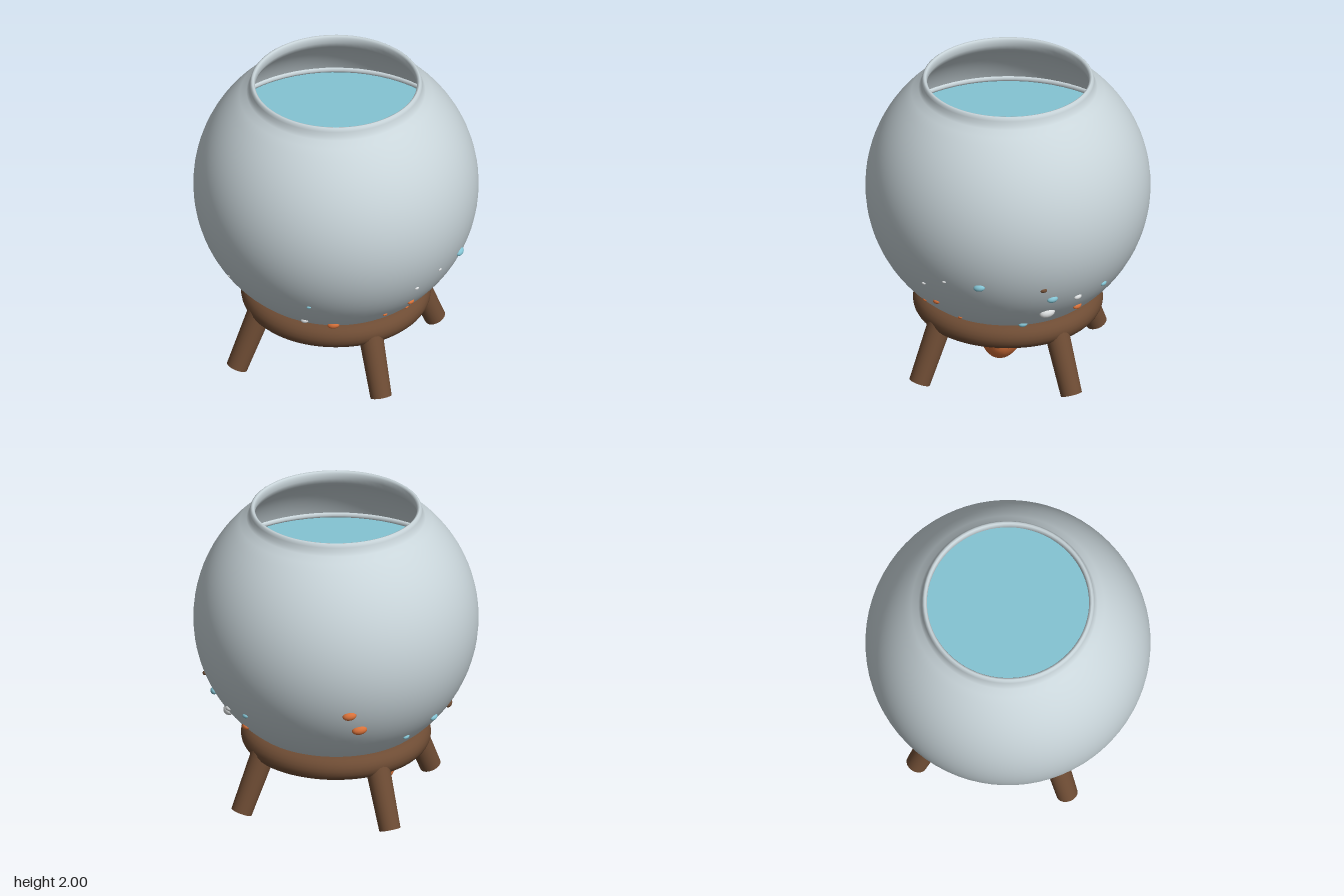
import * as THREE from 'three';

const mat = (name, color, side = THREE.FrontSide) => {
  const m = new THREE.MeshStandardMaterial({ color, side });
  m.name = name;
  return m;
};

export function createModel() {
  const model = new THREE.Group();
  model.name = 'fishBowl';
  const glass = mat('pale glass', 0xc9d5da);
  const blue = mat('water blue', 0x84c4d4);
  const wood = mat('brown wood', 0x6e4c34);
  const orange = mat('fish orange', 0xd9723a);
  const white = mat('pebble white', 0xdcdfe0);
  const black = mat('eye black', 0x1c1c1c);

  const add = (name, geo, material, parent = model) => {
    const m = new THREE.Mesh(geo, material);
    m.name = name;
    parent.add(m);
    return m;
  };
  const V = (x, y) => new THREE.Vector2(x, y);
  const R = 0.9, CY = 1.23;
  const ringRadius = (y, r = R) => Math.sqrt(Math.max(0, r * r - (y - CY) ** 2));

  // Bowl: outer wall from the recessed base up to the rim, then back down inside
  const profile = [V(0, 0.42), V(0.24, 0.42), V(0.27, 0.385)];
  const a0 = Math.asin(0.3 / R), a1 = Math.PI - Math.asin(0.61 / R);
  for (let i = 0; i <= 30; i++) {
    const a = a0 + (a1 - a0) * i / 30;
    profile.push(V(R * Math.sin(a), CY - R * Math.cos(a)));
  }
  profile.push(V(0.565, 1.925), V(0.55, 1.95), V(0.545, 1.975), V(0.54, 1.992), V(0.53, 2),
    V(0.52, 1.997), V(0.512, 1.985), V(0.512, 1.95), V(0.53, 1.91), V(0.58, 1.87));
  for (let i = 0; i <= 12; i++) {
    const y = 1.85 - i * 0.03;
    profile.push(V(ringRadius(y, 0.865), y));
  }
  add('bowl', new THREE.LatheGeometry(profile, 72), glass);

  // Water surface with a thin glass line around it
  const water = add('water', new THREE.CircleGeometry(0.81, 64), blue);
  water.rotation.x = -Math.PI / 2;
  water.position.y = 1.54;
  const line = add('waterLine', new THREE.TorusGeometry(0.8, 0.02, 8, 64), glass);
  line.rotation.x = Math.PI / 2;
  line.position.y = 1.56;

  // Stand: round ring with four splayed legs
  const stand = new THREE.Group();
  stand.name = 'stand';
  model.add(stand);
  const ring = add('standRing', new THREE.TorusGeometry(0.517, 0.083, 20, 72), wood, stand);
  ring.rotation.x = Math.PI / 2;
  ring.position.y = 0.428;
  for (const sx of [-1, 1]) for (const sz of [-1, 1]) {
    const top = new THREE.Vector3(sx * 0.365, 0.43, sz * 0.365);
    const foot = new THREE.Vector3(sx * 0.485, 0.028, sz * 0.485);
    const dir = top.clone().sub(foot);
    const leg = add('leg', new THREE.CylinderGeometry(0.078, 0.068, dir.length(), 24), wood, stand);
    leg.position.copy(top).add(foot).multiplyScalar(0.5);
    leg.quaternion.setFromUnitVectors(new THREE.Vector3(0, 1, 0), dir.normalize());
  }

  // Pebbles on the wall: angle from the front towards +x, height, half width, material
  const pebbles = [
    [2, 0.58, 0.026, white], [19, 0.54, 0.04, orange], [8, 0.8, 0.015, blue], [48, 0.63, 0.016, orange],
    [61, 0.7, 0.025, orange], [-38, 0.8, 0.01, white], [87, 0.937, 0.038, blue], [115, 0.905, 0.022, wood],
    [120, 0.81, 0.036, blue], [120, 0.665, 0.052, white], [139, 0.645, 0.032, orange],
    [134, 0.77, 0.028, white], [149, 0.8, 0.024, blue], [109, 0.53, 0.03, blue], [69, 0.555, 0.016, orange],
    [59, 0.86, 0.016, white], [71, 0.935, 0.014, white], [201, 0.944, 0.045, orange],
    [206, 0.818, 0.05, orange], [250, 0.74, 0.032, blue], [236, 0.64, 0.024, blue],
    [275, 0.69, 0.04, wood], [282, 0.65, 0.036, white],
  ];
  for (const [deg, y, s, m] of pebbles) {
    const a = deg * Math.PI / 180, r = ringRadius(y);
    const p = add('pebble', new THREE.SphereGeometry(1, 14, 10), m);
    p.scale.set(s, s * 0.62, s * 0.62);
    p.position.set(Math.sin(a) * r, y, Math.cos(a) * r);
    p.rotation.set(0, a, 0.15);
  }

  // Fish, facing +x and hanging low through the base
  const fish = new THREE.Group();
  fish.name = 'fish';
  model.add(fish);
  const blob = (name, m, pos, scale, rot = [0, 0, 0]) => {
    const b = add(name, new THREE.SphereGeometry(1, 32, 20), m, fish);
    b.position.set(...pos);
    b.scale.set(...scale);
    b.rotation.set(...rot);
  };
  blob('fishBody', orange, [0.17, 0.355, 0], [0.32, 0.222, 0.15]);
  const mouth = add('fishMouth', new THREE.TorusGeometry(0.036, 0.015, 10, 24), orange, fish);
  mouth.position.set(0.475, 0.355, 0);
  mouth.rotation.y = Math.PI / 2;
  for (const s of [-1, 1]) {
    blob('fishEye', white, [0.34, 0.43, s * 0.11], [0.035, 0.035, 0.025]);
    blob('fishPupil', black, [0.35, 0.43, s * 0.13], [0.018, 0.018, 0.012]);
    blob('bellyFin', orange, [-0.05, 0.225, s * 0.055], [0.05, 0.1, 0.018], [s * -0.2, 0, -0.45]);
  }
  // Forked tail
  const tail = new THREE.Shape();
  tail.moveTo(-0.08, 0.36);
  tail.quadraticCurveTo(-0.14, 0.2, -0.36, 0.18);
  tail.quadraticCurveTo(-0.4, 0.25, -0.28, 0.37);
  tail.quadraticCurveTo(-0.38, 0.46, -0.36, 0.54);
  tail.quadraticCurveTo(-0.14, 0.5, -0.08, 0.36);
  const tailGeo = new THREE.ExtrudeGeometry(tail, {
    depth: 0.03, bevelEnabled: true, bevelSize: 0.01, bevelThickness: 0.012, bevelSegments: 3, curveSegments: 12,
  });
  tailGeo.translate(0, 0, -0.015);
  add('fishTail', tailGeo, orange, fish);

  return model;
}
